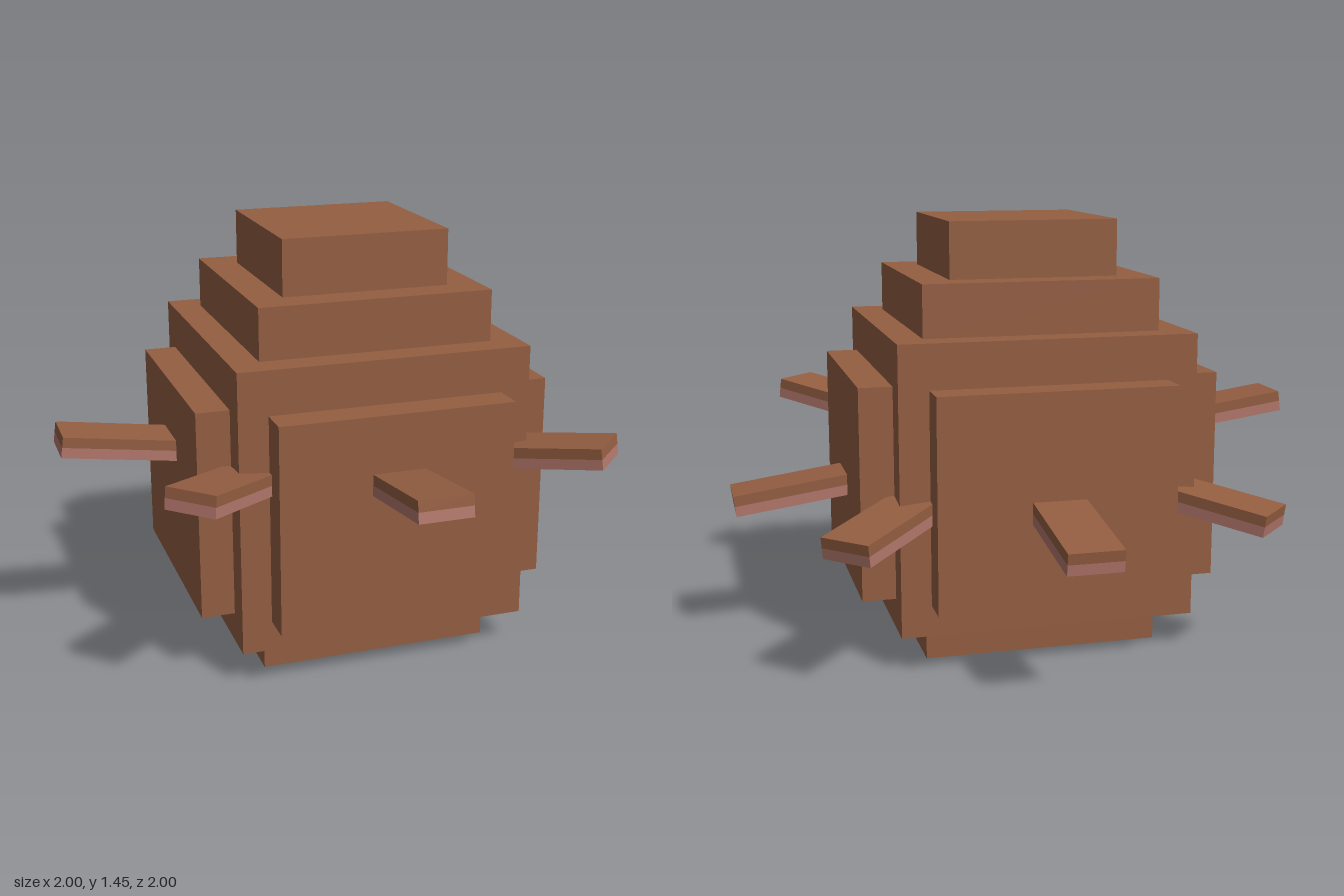
import * as THREE from 'three';

export function createModel() {
  const model = new THREE.Group();
  const brown = new THREE.MeshStandardMaterial({ name: 'brown', color: 0x945e41 });
  const pink = new THREE.MeshStandardMaterial({ name: 'dusty pink', color: 0xb2776c });

  function box(parent, name, size, position, material) {
    const mesh = new THREE.Mesh(new THREE.BoxGeometry(...size), material);
    mesh.name = name;
    mesh.position.set(...position);
    parent.add(mesh);
  }

  // Stacked square tiers: name, width, bottom, top
  const tiers = [
    ['base', 0.8, 0, 0.115],
    ['body', 1.0, 0.115, 1.08],
    ['shoulder', 0.8, 1.08, 1.255],
    ['cap', 0.574, 1.255, 1.445],
  ];
  for (const [name, w, y0, y1] of tiers) {
    box(model, name, [w, y1 - y0, w], [0, (y0 + y1) / 2, 0], brown);
  }

  // Raised panel on each side of the body
  for (let i = 0; i < 4; i++) {
    const side = new THREE.Group();
    side.name = 'sidePanel';
    side.rotation.y = (i * Math.PI) / 2;
    box(side, 'panel', [0.8, 0.712, 0.112], [0, 0.574, 0.556], brown);
    model.add(side);
  }

  // Eight two-layer spikes: four tilt up (front and right), four tilt down
  const tilt = 0.14, length = 0.5, width = 0.18, layer = 0.036;
  const upward = [true, true, false, false, false, false, true, true];
  upward.forEach((up, i) => {
    const spike = new THREE.Group();
    spike.name = 'spike';
    spike.rotation.order = 'YXZ';
    // Turn around the body starting from the front, then tilt about the tip
    const angle = (i * Math.PI) / 4;
    spike.rotation.set(up ? -tilt : tilt, angle, 0);
    spike.position.set(0.995 * Math.sin(angle), up ? 0.755 : 0.483, 0.995 * Math.cos(angle));
    box(spike, 'spikeTop', [width, layer, length], [0, layer / 2, -length / 2], brown);
    box(spike, 'spikeUnderside', [width, layer, length], [0, -layer / 2, -length / 2], pink);
    model.add(spike);
  });

  return model;
}
